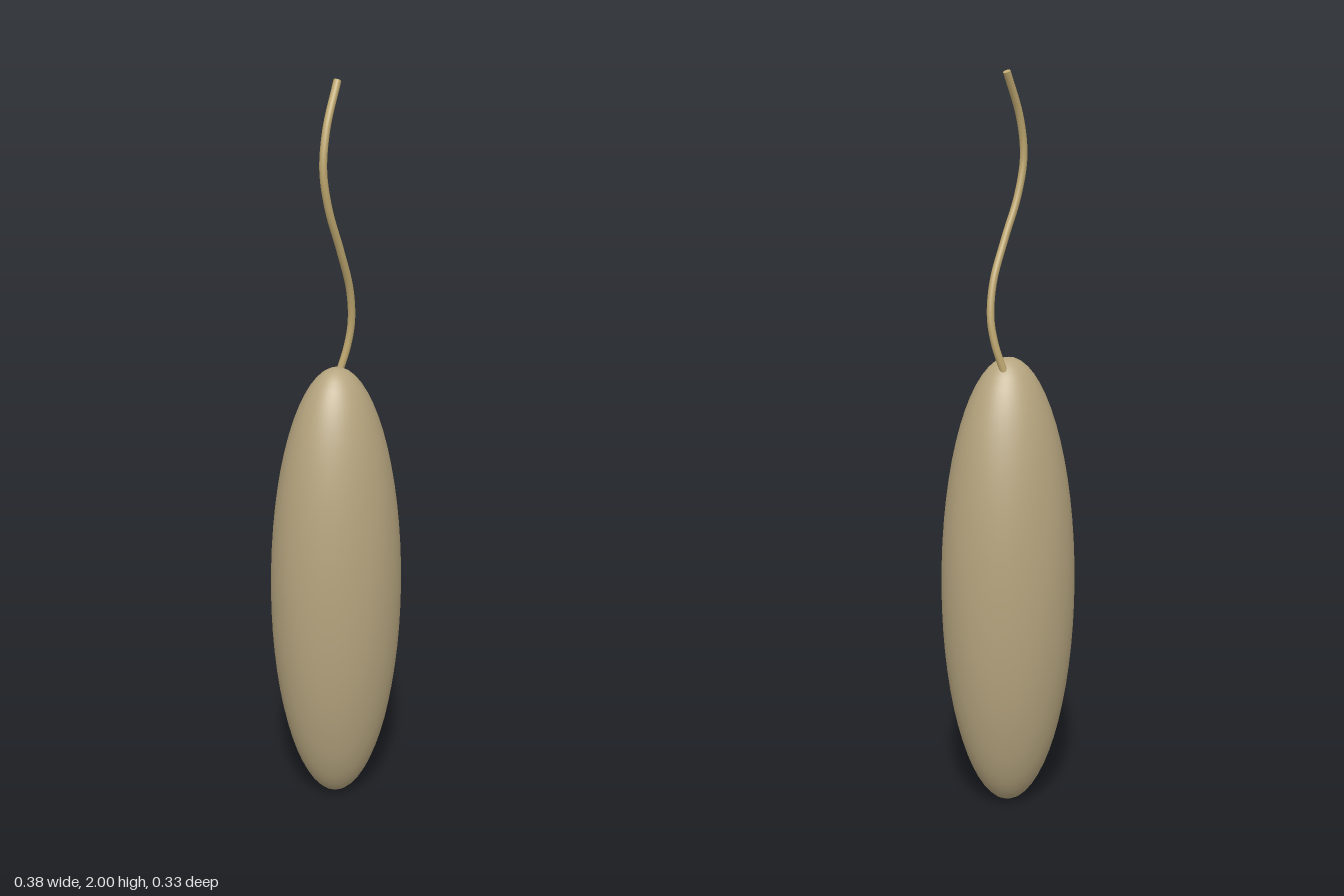
import * as THREE from 'three';

export function createModel() {
  const model = new THREE.Group();
  const bodyTan = new THREE.MeshStandardMaterial({ color: 0xb5a47e });
  bodyTan.name = 'body tan';
  const tailTan = new THREE.MeshStandardMaterial({ color: 0xbfa870 });
  tailTan.name = 'tail tan';

  // Long body, slightly flattened from front to back
  const body = new THREE.Mesh(new THREE.SphereGeometry(1, 48, 32), bodyTan);
  body.name = 'body';
  body.scale.set(0.188, 0.629, 0.167);
  body.position.y = 0.629;
  model.add(body);

  // Wavy tail rising from the top of the body
  const path = new THREE.CatmullRomCurve3([
    [0.03, 1.215, -0.034],
    [0.055, 1.30, -0.023],
    [0.062, 1.37, -0.014],
    [0.046, 1.46, -0.001],
    [0.0, 1.57, 0.017],
    [-0.046, 1.68, 0.028],
    [-0.065, 1.78, 0.03],
    [-0.048, 1.88, 0.021],
    [0.006, 1.995, -0.003],
  ].map((p) => new THREE.Vector3(...p)));
  const radius = 0.01;
  const tail = new THREE.Group();
  tail.name = 'tail';
  const strand = new THREE.Mesh(new THREE.TubeGeometry(path, 80, radius, 12), tailTan);
  strand.name = 'tailStrand';
  tail.add(strand);

  // Flat discs closing both ends of the tail
  for (const [t, sign, name] of [[0, -1, 'tailRootCap'], [1, 1, 'tailTipCap']]) {
    const cap = new THREE.Mesh(new THREE.CircleGeometry(radius, 12), tailTan);
    cap.name = name;
    cap.position.copy(path.getPointAt(t));
    const direction = path.getTangentAt(t).multiplyScalar(sign);
    cap.quaternion.setFromUnitVectors(new THREE.Vector3(0, 0, 1), direction);
    tail.add(cap);
  }
  model.add(tail);

  return model;
}
